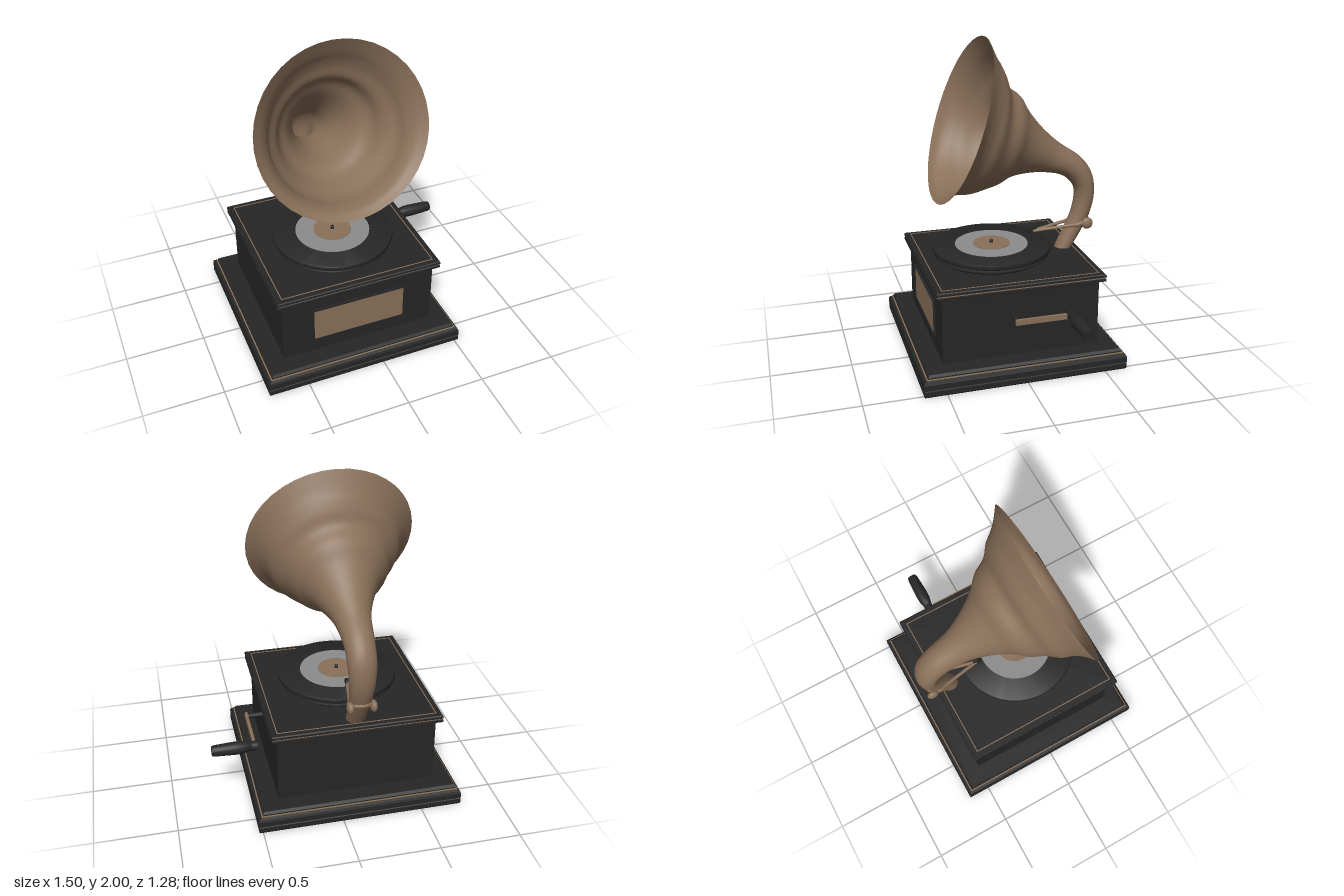
import * as THREE from 'three';
import { toCreasedNormals } from 'three/addons/utils/BufferGeometryUtils.js';

const CX = -0.115; // middle of the cabinet; the crank sticks out to +x

export function createModel() {
  const group = new THREE.Group();
  const material = (name, color, side = THREE.FrontSide) =>
    Object.assign(new THREE.MeshStandardMaterial({ color, side }), { name });
  const black = material('black lacquer', 0x262626);
  const brass = material('aged brass', 0x8a7059, THREE.DoubleSide);
  const grey = material('record grey', 0x8c8c8c);

  const add = (name, geometry, mat, x = 0, y = 0, z = 0) => {
    const mesh = new THREE.Mesh(geometry, mat);
    mesh.name = name;
    mesh.position.set(x, y, z);
    group.add(mesh);
    return mesh;
  };
  const points = (list) => list.map(([x, y]) => new THREE.Vector2(x, y));
  const turned = (profile, sides = 48) =>
    toCreasedNormals(new THREE.LatheGeometry(points(profile), sides), 0.6);
  // square moulding: profile of [half width, y]
  const moulding = (profile) => {
    const g = new THREE.LatheGeometry(points(profile.map(([r, y]) => [r * Math.SQRT2, y])), 4);
    g.rotateY(Math.PI / 4);
    return toCreasedNormals(g, 0.25);
  };
  const rod = (name, a, b, radius, mat) => {
    const dir = b.clone().sub(a);
    const mesh = add(name, new THREE.CylinderGeometry(radius, radius, dir.length(), 16), mat);
    mesh.position.copy(a).add(b).multiplyScalar(0.5);
    mesh.quaternion.setFromUnitVectors(new THREE.Vector3(0, 1, 0), dir.normalize());
    return mesh;
  };

  // Cabinet
  add('basePlinth', moulding([[0, 0], [0.635, 0], [0.64, 0.008], [0.64, 0.038], [0.634, 0.042],
    [0.64, 0.046], [0.64, 0.08], [0.634, 0.093], [0.622, 0.1], [0, 0.1]]), black, CX);
  add('baseBrassLine', moulding([[0.6, 0.098], [0.62, 0.098], [0.62, 0.106], [0.6, 0.106]]), brass, CX);
  add('baseStep', moulding([[0.5, 0.104], [0.612, 0.104], [0.612, 0.114], [0.6, 0.128], [0.48, 0.13]]), black, CX);
  add('cabinetBox', new THREE.BoxGeometry(0.99, 0.44, 0.99), black, CX, 0.345, 0);
  add('lid', moulding([[0.48, 0.555], [0.522, 0.555], [0.53, 0.56], [0.53, 0.573], [0.522, 0.576],
    [0.522, 0.582], [0.53, 0.585], [0.53, 0.599], [0.524, 0.605], [0, 0.605]]), black, CX);
  add('lidBrassBand', moulding([[0.52, 0.576], [0.525, 0.576], [0.525, 0.582], [0.52, 0.582]]), brass, CX);

  // Brass inlay on the lid
  for (const s of [-1, 1]) {
    add('lidInlay', new THREE.BoxGeometry(0.99, 0.003, 0.006), brass, CX, 0.606, s * 0.492);
    add('lidInlay', new THREE.BoxGeometry(0.006, 0.003, 0.99), brass, CX + s * 0.492, 0.606, 0);
  }

  // Front panel with a raised frame
  const [pw, ph, py] = [0.61, 0.24, 0.34];
  add('frontPanel', new THREE.BoxGeometry(pw - 0.012, ph - 0.012, 0.008), brass, CX, py, 0.498);
  for (const s of [-1, 1]) {
    add('panelFrame', new THREE.BoxGeometry(pw, 0.008, 0.018), black, CX, py + s * (ph / 2 - 0.004), 0.5);
    add('panelFrame', new THREE.BoxGeometry(0.008, ph, 0.018), black, CX + s * (pw / 2 - 0.004), py, 0.5);
  }

  // Turntable and record
  const TZ = 0.055;
  add('turntable', turned([[0, 0.6], [0.35, 0.605], [0.368, 0.618], [0.368, 0.626], [0.356, 0.632],
    [0.378, 0.643], [0.382, 0.655], [0.38, 0.67], [0.372, 0.675], [0, 0.675]], 64), black, CX, 0, TZ);
  add('recordRing', new THREE.CylinderGeometry(0.235, 0.235, 0.004, 48), grey, CX, 0.676, TZ);
  add('recordLabel', new THREE.CylinderGeometry(0.118, 0.118, 0.006, 48), brass, CX, 0.679, TZ);
  add('spindle', turned([[0.012, 0.68], [0.012, 0.697], [0.006, 0.704], [0, 0.705]], 16), black, CX, 0, TZ);

  // Horn: each section is [top z, top y, bottom z, bottom y, half width]
  const sections = [
    [-0.487, 0.6, -0.376, 0.6, 0.058], [-0.55, 0.706, -0.434, 0.724, 0.062],
    [-0.603, 0.81, -0.487, 0.84, 0.07], [-0.635, 0.95, -0.508, 0.947, 0.08],
    [-0.62, 1.09, -0.497, 1.016, 0.087], [-0.55, 1.2, -0.418, 1.095, 0.092],
    [-0.39, 1.317, -0.26, 1.132, 0.113], [-0.286, 1.413, -0.11, 1.132, 0.164],
    [-0.19, 1.53, -0.02, 1.116, 0.225], [-0.127, 1.635, 0.058, 1.08, 0.293],
    [-0.05, 1.7, 0.14, 1.06, 0.338], [-0.022, 1.785, 0.243, 1.042, 0.4],
    [0.002, 1.84, 0.33, 1.046, 0.43], [0.035, 1.895, 0.388, 1.037, 0.468],
    [0.085, 2.0, 0.429, 1.0, 0.533],
  ];
  const topLine = new THREE.CatmullRomCurve3(sections.map((s) => new THREE.Vector3(s[4], s[1], s[0])));
  const bottomLine = new THREE.CatmullRomCurve3(sections.map((s) => new THREE.Vector3(s[4], s[3], s[2])));
  const rings = (sections.length - 1) * 5, sides = 40;
  const pos = [], idx = [];
  for (let i = 0; i <= rings; i++) {
    const a = topLine.getPoint(i / rings), b = bottomLine.getPoint(i / rings);
    for (let j = 0; j < sides; j++) {
      const t = (j / sides) * Math.PI * 2, c = Math.cos(t) / 2;
      pos.push(CX + Math.sin(t) * a.x, (a.y + b.y) / 2 + c * (a.y - b.y), (a.z + b.z) / 2 + c * (a.z - b.z));
      if (i < rings) {
        const p = i * sides + j, q = i * sides + (j + 1) % sides;
        idx.push(p, p + sides, q, q, p + sides, q + sides);
      }
    }
  }
  const horn = new THREE.BufferGeometry();
  horn.setAttribute('position', new THREE.Float32BufferAttribute(pos, 3));
  horn.setIndex(idx);
  horn.computeVertexNormals();
  add('horn', horn, brass);

  // Tone arm: collar around the neck, two rods and the sound box
  const collar = add('neckCollar', new THREE.TorusGeometry(0.064, 0.016, 12, 32), brass, CX, 0.772, -0.53);
  collar.rotation.x = Math.PI / 2 + 0.3;
  const head = new THREE.Vector3(CX, 0.73, -0.225);
  for (const s of [-1, 1]) {
    const knob = new THREE.Vector3(CX + s * 0.07, 0.773, -0.575);
    const ball = add('collarKnob', new THREE.SphereGeometry(0.038, 20, 14), brass, ...knob.toArray());
    ball.scale.x = 0.6;
    rod('toneArmRod', knob, head, 0.011, brass);
  }
  add('soundBox', new THREE.CylinderGeometry(0.03, 0.03, 0.016, 24), black, ...head.toArray()).rotation.z = Math.PI / 2;
  rod('needle', head, new THREE.Vector3(CX, 0.678, -0.21), 0.004, black);

  // Crank
  const CY = 0.395;
  const v = (x, z) => new THREE.Vector3(x, CY, z);
  rod('crankShaft', v(0.37, 0.05), v(0.487, 0.05), 0.017, black);
  add('crankArm', new THREE.BoxGeometry(0.018, 0.034, 0.32), brass, 0.484, CY, -0.09);
  rod('crankHub', v(0.468, -0.285), v(0.505, -0.285), 0.03, black);
  const handle = add('crankHandle', turned([[0, 0], [0.022, 0], [0.03, 0.015], [0.04, 0.06], [0.041, 0.11],
    [0.035, 0.235], [0.03, 0.25], [0, 0.25]], 24), black, 0.5, CY, -0.285);
  handle.rotation.z = -Math.PI / 2;

  return group;
}
